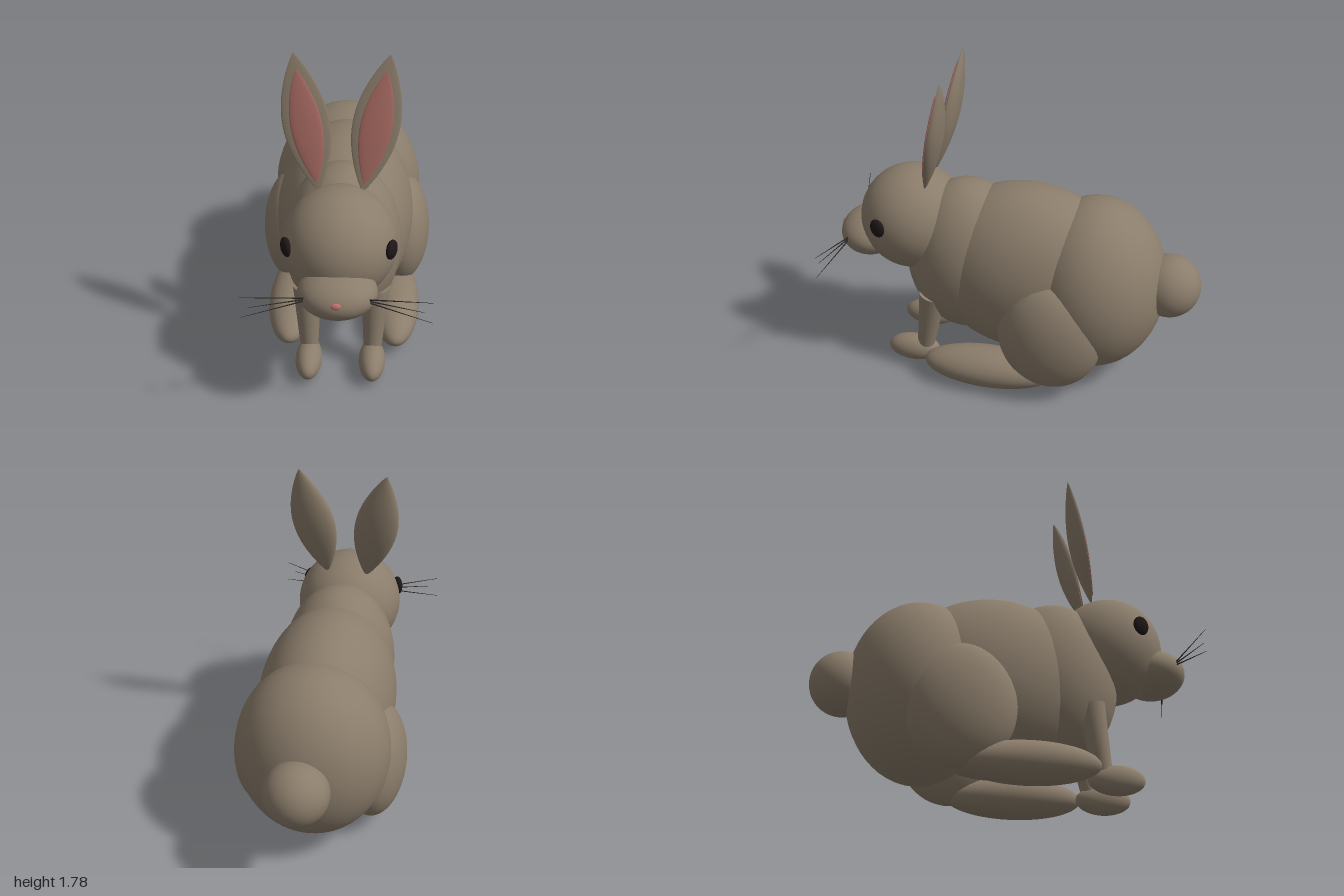
import * as THREE from 'three';

const mat = (name, color) => {
  const m = new THREE.MeshStandardMaterial({ color });
  m.name = name;
  return m;
};

export function createModel() {
  const fur = mat('fur', 0x8b7d6b);
  const earPink = mat('inner ear pink', 0xa86a62);
  const nosePink = mat('nose pink', 0xc0706c);
  const eyeDark = mat('eye dark', 0x1e1618);
  const whiskerDark = mat('whisker dark', 0x2a2725);

  const rabbit = new THREE.Group();
  rabbit.name = 'rabbit';

  // Smooth ellipsoid from centre and radii
  const blob = (name, material, centre, radii, parent = rabbit) => {
    const mesh = new THREE.Mesh(new THREE.SphereGeometry(1, 48, 32), material);
    mesh.name = name;
    mesh.position.set(...centre);
    mesh.scale.set(...radii);
    parent.add(mesh);
    return mesh;
  };

  // Tapered rod between two points
  const rod = (name, material, from, to, r0, r1, sides, parent) => {
    const a = new THREE.Vector3(...from), b = new THREE.Vector3(...to);
    const dir = b.clone().sub(a);
    const mesh = new THREE.Mesh(new THREE.CylinderGeometry(r1, r0, dir.length(), sides), material);
    mesh.name = name;
    mesh.position.copy(a).add(b).multiplyScalar(0.5);
    mesh.quaternion.setFromUnitVectors(new THREE.Vector3(0, 1, 0), dir.normalize());
    parent.add(mesh);
    return mesh;
  };

  // Pointed leaf along y, with separate depths for its front and back faces
  const leaf = (length, halfWidth, front, back) => {
    const profile = [];
    for (let i = 0; i <= 28; i++) {
      const t = i / 28;
      const r = halfWidth * Math.pow(Math.max(Math.sin(Math.PI * t), 0), 0.85);
      profile.push(new THREE.Vector2(i === 0 || i === 28 ? 0 : r, t * length));
    }
    const geo = new THREE.LatheGeometry(profile, 40);
    const p = geo.attributes.position;
    for (let i = 0; i < p.count; i++) {
      const z = p.getZ(i);
      p.setZ(i, z * (z > 0 ? front : back));
    }
    geo.computeVertexNormals();
    return geo;
  };

  // Body, head and tail
  blob('rump', fur, [0, 0.575, -0.43], [0.41, 0.49, 0.385]);
  blob('torso', fur, [0, 0.622, -0.05], [0.37, 0.492, 0.55]);
  blob('chest', fur, [0, 0.66, 0.28], [0.31, 0.45, 0.34]);
  blob('head', fur, [0, 0.865, 0.58], [0.287, 0.29, 0.29]);
  blob('muzzle', fur, [0, 0.742, 0.825], [0.197, 0.122, 0.17]);
  blob('tail', fur, [0, 0.605, -0.83], [0.172, 0.172, 0.17]);
  blob('nose', nosePink, [0, 0.77, 0.982], [0.027, 0.019, 0.014]);

  for (const s of [1, -1]) {
    const side = new THREE.Group();
    side.name = s > 0 ? 'leftSide' : 'rightSide';
    rabbit.add(side);

    // Hind leg
    blob('haunch', fur, [s * 0.3, 0.4, -0.24], [0.17, 0.33, 0.285], side);
    blob('hindFoot', fur, [s * 0.288, 0.117, 0.1], [0.13, 0.11, 0.365], side);

    // Front leg
    rod('frontLeg', fur, [s * 0.168, 0.1, 0.5], [s * 0.18, 0.48, 0.44], 0.046, 0.075, 28, side);
    blob('frontPaw', fur, [s * 0.168, 0.086, 0.565], [0.07, 0.078, 0.147], side);

    // Eye, turned to sit on the cheek
    const eye = blob('eye', eyeDark, [s * 0.258, 0.915, 0.708], [0.024, 0.052, 0.046], side);
    eye.rotation.y = -s * 0.45;

    // Ear leaning back and outward
    const ear = new THREE.Group();
    ear.name = 'ear';
    const up = new THREE.Vector3(s * 0.125, 0.69, -0.14).normalize();
    const across = new THREE.Vector3(1, 0, 0).addScaledVector(up, -up.x).normalize();
    const forward = across.clone().cross(up);
    ear.quaternion.setFromRotationMatrix(new THREE.Matrix4().makeBasis(across, up, forward));
    ear.position.set(s * 0.108, 1.098, 0.483);
    const shell = new THREE.Mesh(leaf(0.715, 0.116, 0.1, 0.5), fur);
    shell.name = 'earShell';
    const inner = new THREE.Mesh(leaf(0.595, 0.077, 0.14, 0.1), earPink);
    inner.name = 'innerEar';
    inner.position.set(0, 0.045, 0.014);
    ear.add(shell, inner);
    side.add(ear);

    // Whiskers fanning from the muzzle
    for (const [y0, x1, y1] of [[0.765, 0.46, 0.815], [0.757, 0.42, 0.757], [0.748, 0.46, 0.695]]) {
      rod('whisker', whiskerDark, [s * 0.155, y0, 0.915], [s * x1, y1, 0.99], 0.004, 0.001, 6, side);
    }
  }

  return rabbit;
}
